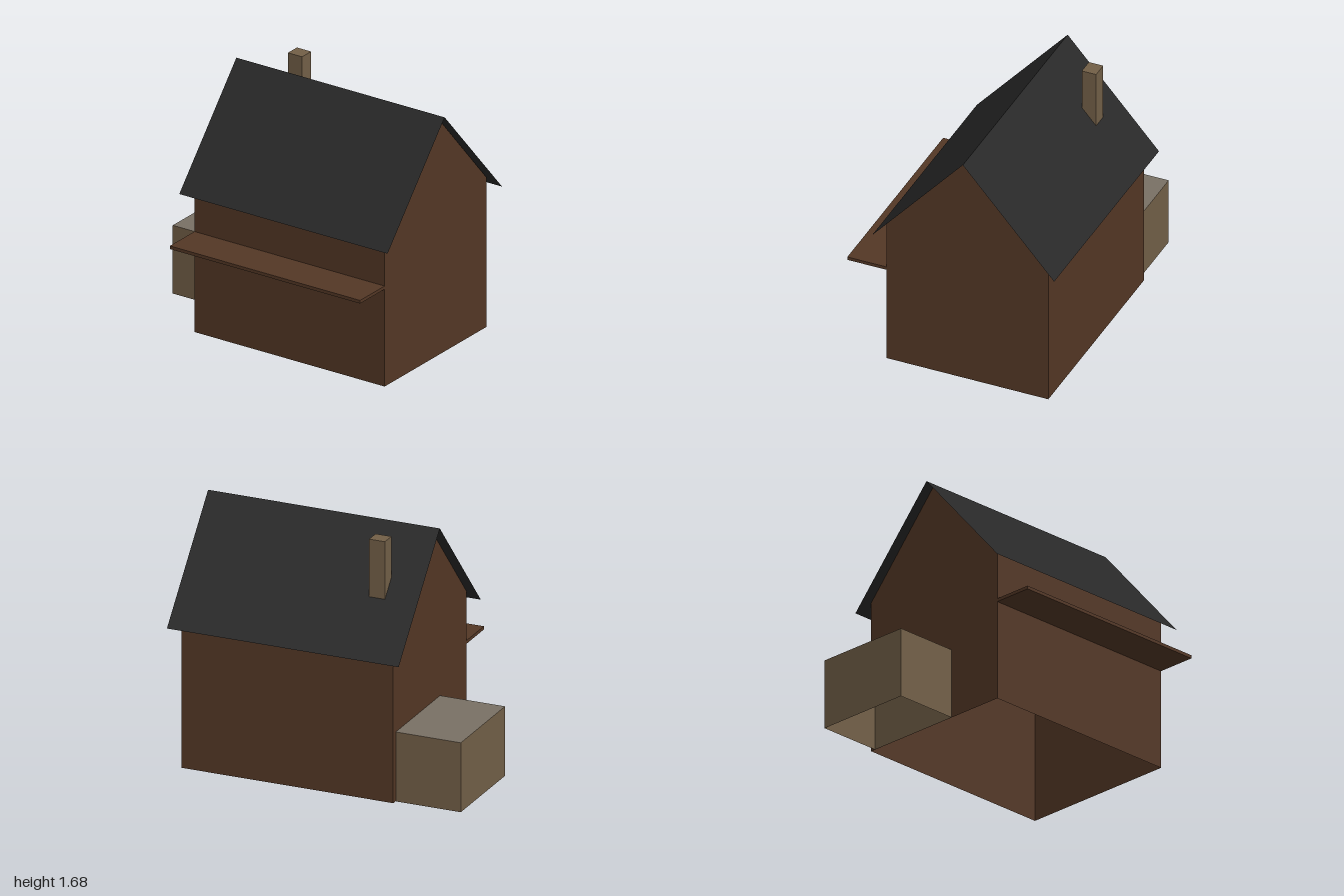
import * as THREE from 'three';

const makeMaterial = (name, color) => {
  const m = new THREE.MeshStandardMaterial({ color, side: THREE.DoubleSide });
  m.name = name;
  return m;
};

// Flat panel from corners listed counter-clockwise seen from outside
function panel(name, corners, material) {
  const geometry = new THREE.BufferGeometry();
  geometry.setAttribute('position', new THREE.Float32BufferAttribute(corners.flat(), 3));
  const index = [];
  for (let i = 1; i < corners.length - 1; i++) index.push(0, i, i + 1);
  geometry.setIndex(index);
  const flat = geometry.toNonIndexed();
  flat.computeVertexNormals();
  const mesh = new THREE.Mesh(flat, material);
  mesh.name = name;
  return mesh;
}

function box(name, [x0, x1], [y0, y1], [z0, z1], material) {
  const mesh = new THREE.Mesh(new THREE.BoxGeometry(x1 - x0, y1 - y0, z1 - z0), material);
  mesh.position.set((x0 + x1) / 2, (y0 + y1) / 2, (z0 + z1) / 2);
  mesh.name = name;
  return mesh;
}

export function createModel() {
  const wood = makeMaterial('brown wood', 0x533725);
  const slate = makeMaterial('dark slate', 0x282828);
  const stone = makeMaterial('tan stone', 0x725f47);
  const cover = makeMaterial('grey cover', 0x797064);

  const model = new THREE.Group();
  model.name = 'house';

  const left = -0.545, right = 0.93, front = 0.465, back = -0.665;
  const ridgeZ = -0.1, eaveY = 1.04, ridgeY = 1.68;

  // Walls, open underneath
  const walls = new THREE.Group();
  walls.name = 'walls';
  const gable = (x) => [[x, 0, front], [x, 0, back], [x, eaveY, back], [x, ridgeY, ridgeZ], [x, eaveY, front]];
  walls.add(
    panel('frontWall', [[left, 0, front], [right, 0, front], [right, eaveY, front], [left, eaveY, front]], wood),
    panel('backWall', [[right, 0, back], [left, 0, back], [left, eaveY, back], [right, eaveY, back]], wood),
    panel('leftGable', gable(right), wood),
    panel('rightGable', gable(left).reverse(), wood),
  );
  model.add(walls);

  // Two thin roof slopes overhanging the walls
  const roof = new THREE.Group();
  roof.name = 'roof';
  const x0 = -0.615, x1 = 1, top = 1.685, low = 0.968;
  roof.add(
    panel('frontSlope', [[x0, low, 0.533], [x1, low, 0.533], [x1, top, ridgeZ], [x0, top, ridgeZ]], slate),
    panel('backSlope', [[x1, low, -0.737], [x0, low, -0.737], [x0, top, ridgeZ], [x1, top, ridgeZ]], slate),
  );
  model.add(roof);

  // Chimney and front awning
  model.add(box('chimney', [-0.39, -0.28], [1.24, 1.685], [-0.45, -0.35], stone));
  model.add(box('awning', [left, right], [0.678, 0.7], [front, 0.737], wood));

  // Side shed with a grey top and no floor
  const shed = box('shed', [-1, left - 0.002], [0, 0.475], [-0.63, 0.055],
    [stone, stone, cover, stone, stone, stone]);
  const g = shed.geometry;
  const index = Array.from(g.index.array);
  index.splice(18, 6);
  g.setIndex(index);
  g.clearGroups();
  for (let face = 0; face < 5; face++) g.addGroup(face * 6, 6, face === 2 ? 2 : 0);
  model.add(shed);

  return model;
}
